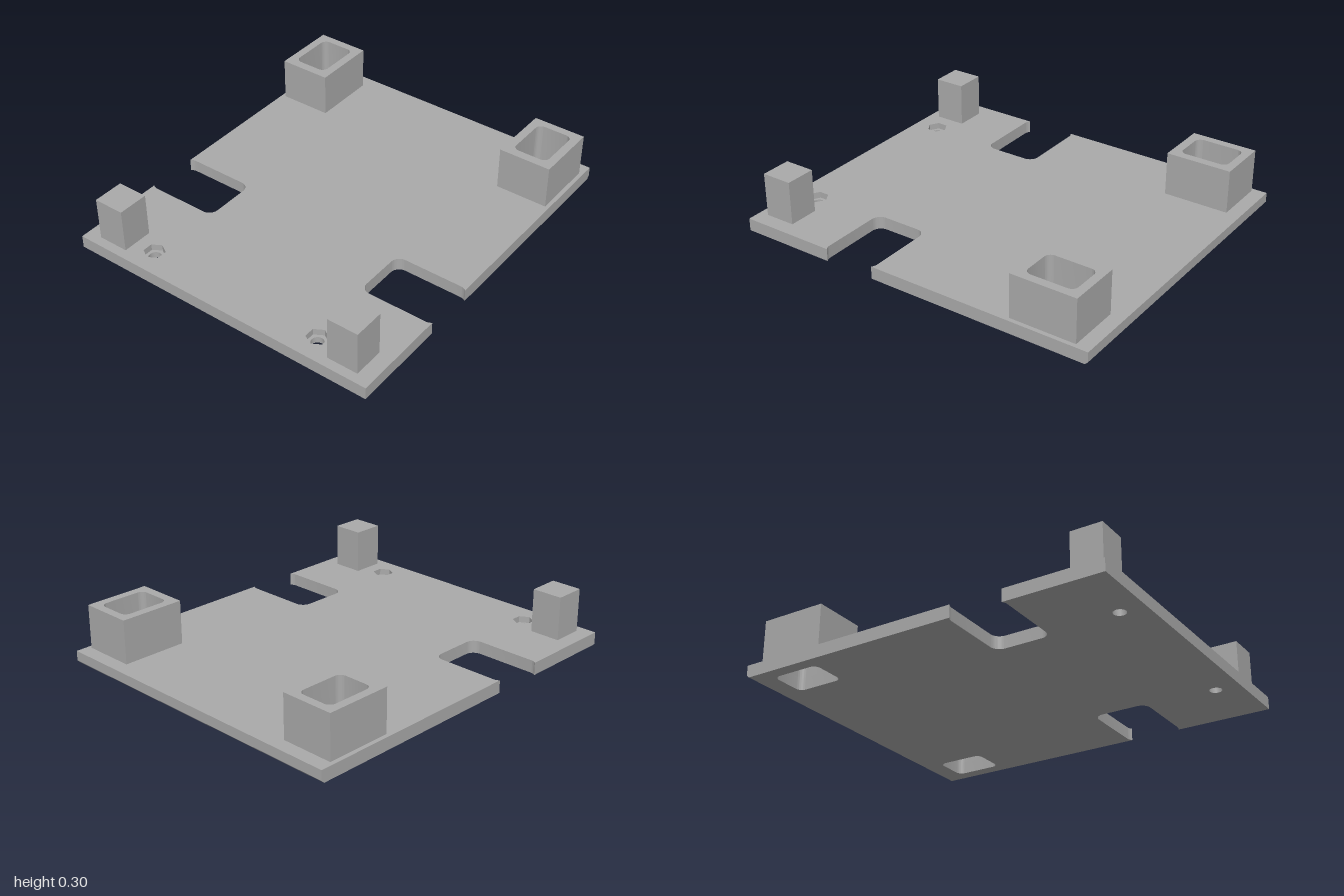
import * as THREE from 'three';
import { mergeGeometries, toCreasedNormals } from 'three/addons/utils/BufferGeometryUtils.js';

const HALF_Z = 0.864, THICK = 0.067, TOP = 0.3;
const CHAMFER = 0.015, POCKET_FLOOR = 0.033;
const SIDES = [-1, 1];

// Vertical extrusion from y0 to y1, leaving out caps that would be buried
function slab(shape, y0, y1, keepBottom, keepTop) {
  const geo = new THREE.ExtrudeGeometry(shape, { depth: y1 - y0, bevelEnabled: false, curveSegments: 8 });
  geo.rotateX(-Math.PI / 2).translate(0, y0, 0);
  const p = geo.attributes.position, kept = [];
  const allAt = (i, y) => [0, 1, 2].every(k => Math.abs(p.getY(i + k) - y) < 1e-5);
  for (let i = 0; i < p.count; i += 3) {
    if ((!keepBottom && allAt(i, y0)) || (!keepTop && allAt(i, y1))) continue;
    for (let k = 0; k < 3; k++) kept.push(p.getX(i + k), p.getY(i + k), p.getZ(i + k));
  }
  const out = new THREE.BufferGeometry();
  out.setAttribute('position', new THREE.Float32BufferAttribute(kept, 3));
  return out;
}

function roundedRect(x0, x1, y0, y1, r) {
  const s = new THREE.Path();
  s.absarc(x1 - r, y0 + r, r, -Math.PI / 2, 0);
  s.absarc(x1 - r, y1 - r, r, 0, Math.PI / 2);
  s.absarc(x0 + r, y1 - r, r, Math.PI / 2, Math.PI);
  s.absarc(x0 + r, y0 + r, r, Math.PI, Math.PI * 1.5);
  s.closePath();
  return s;
}

const window = side => side > 0
  ? roundedRect(0.62, 0.881, 0.604, 0.797, 0.035)
  : roundedRect(0.62, 0.881, -0.797, -0.604, 0.035);

function boltHole(side) {
  const h = new THREE.Path();
  h.absarc(-0.87, side * 0.5, 0.033, 0, Math.PI * 2);
  return h;
}

function hexPoints(side) {
  return Array.from({ length: 6 }, (_, i) => new THREE.Vector2(
    -0.87 + 0.055 * Math.cos(i * Math.PI / 3), side * 0.5 + 0.055 * Math.sin(i * Math.PI / 3)));
}

// Plate outline with a round-cornered notch in each long edge
function plateShape(nutHoles) {
  const notch = new THREE.Path(), r = 0.05, lip = 0.694;
  notch.absarc(-0.445, -0.832, r, Math.PI + lip, Math.PI, true);
  notch.absarc(-0.445, -0.516, r, Math.PI, Math.PI / 2, true);
  notch.absarc(-0.245, -0.516, r, Math.PI / 2, 0, true);
  notch.absarc(-0.245, -0.832, r, 0, -lip, true);
  const pts = notch.getPoints(8);
  const V = (x, y) => new THREE.Vector2(x, y);
  const shape = new THREE.Shape([
    V(-1, -HALF_Z), ...pts, V(1, -HALF_Z),
    V(1, HALF_Z), ...pts.map(p => V(p.x, -p.y)).reverse(), V(-1, HALF_Z),
  ]);
  for (const s of SIDES) shape.holes.push(window(s), nutHoles(s));
  return shape;
}

function plateGeometry() {
  const round = plateShape(boltHole);
  const hex = plateShape(s => new THREE.Path(hexPoints(s)));

  // Lower right edge is chamfered
  const bottom = slab(round, 0, CHAMFER, true, false);
  const p = bottom.attributes.position;
  for (let i = 0; i < p.count; i++) {
    if (p.getX(i) > 0.99 && p.getY(i) < 1e-4) p.setX(i, 1 - CHAMFER);
  }
  const parts = [
    bottom,
    slab(round, CHAMFER, POCKET_FLOOR, false, false),
    slab(hex, POCKET_FLOOR, THICK, false, true),
  ];

  // Floors of the hexagonal nut pockets
  for (const s of SIDES) {
    const ring = new THREE.Shape(hexPoints(s));
    ring.holes.push(boltHole(s));
    const floor = new THREE.ShapeGeometry(ring, 8).toNonIndexed();
    floor.rotateX(-Math.PI / 2).translate(0, POCKET_FLOOR, 0);
    floor.deleteAttribute('uv');
    floor.deleteAttribute('normal');
    parts.push(floor);
  }
  return toCreasedNormals(mergeGeometries(parts), 0.6);
}

// Rectangular footprint as a shape
function rect(x0, x1, y0, y1) {
  return new THREE.Shape([[x0, y0], [x1, y0], [x1, y1], [x0, y1]].map(c => new THREE.Vector2(...c)));
}

export function createModel() {
  const group = new THREE.Group();
  group.name = 'mountingPlate';
  const grey = new THREE.MeshStandardMaterial({ color: 0xaaaaaa });
  grey.name = 'grey';
  const add = (name, geo) => {
    const mesh = new THREE.Mesh(geo, grey);
    mesh.name = name;
    group.add(mesh);
  };

  add('basePlate', plateGeometry());

  for (const s of SIDES) {
    const end = s > 0 ? 'back' : 'front';

    // Hollow sockets open through the plate
    const socket = rect(0.572, 0.925, s * 0.7 - 0.142, s * 0.7 + 0.142);
    socket.holes.push(window(s));
    add(end + 'Socket', toCreasedNormals(slab(socket, THICK, TOP, false, true), 0.6));

    // Solid square posts
    const post = rect(-0.95, -0.784, s * 0.7 - 0.083, s * 0.7 + 0.083);
    add(end + 'Post', toCreasedNormals(slab(post, THICK, TOP, false, true), 0.6));
  }
  return group;
}
